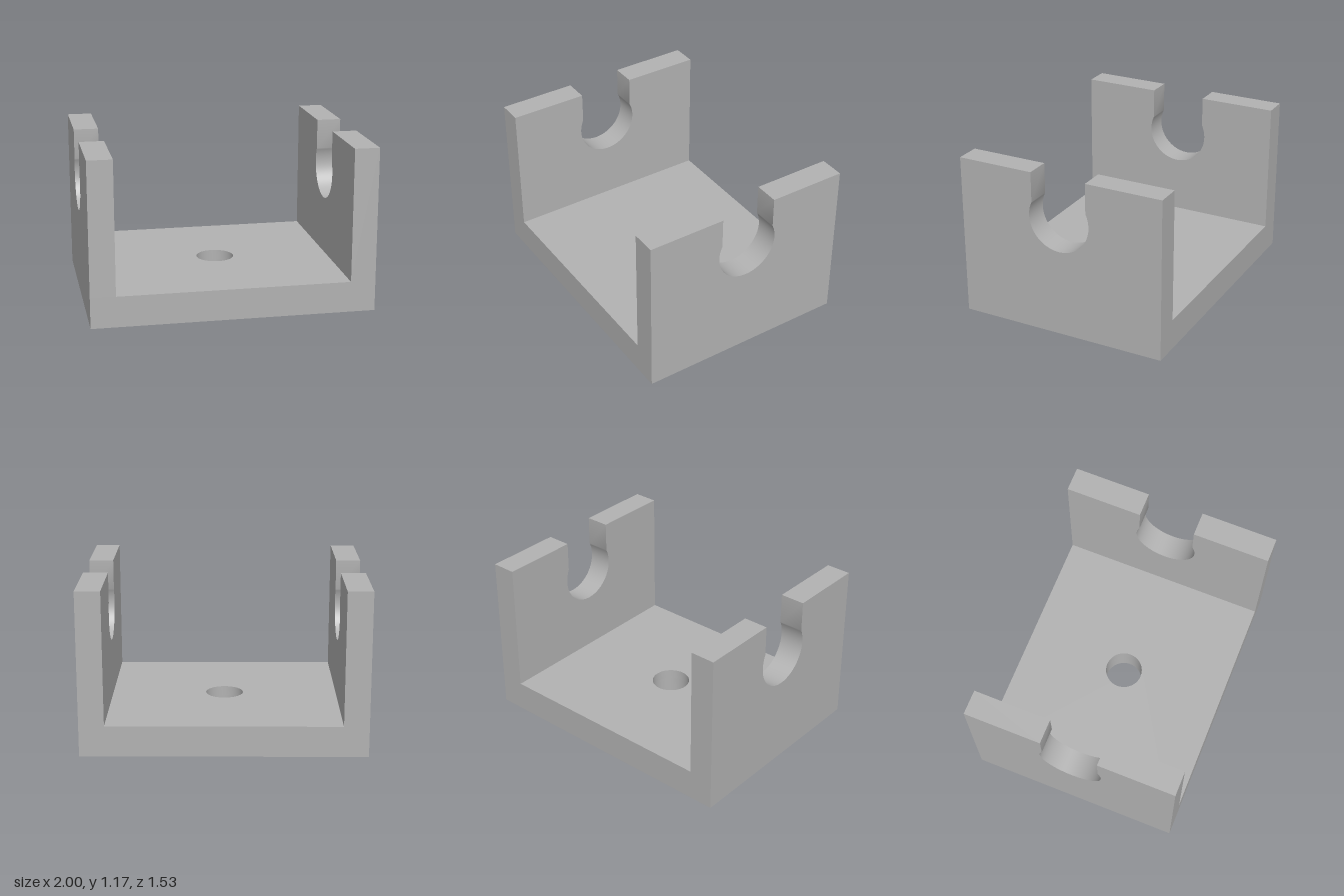
import * as THREE from 'three';
import { toCreasedNormals } from 'three/addons/utils/BufferGeometryUtils.js';

const HALF_X = 1, HALF_Z = 0.765, HEIGHT = 1.172;
const FLOOR = 0.22, WALL = 0.177;
const BORE_R = 0.136;                                    // centre through-hole
const SCREW = { r: 0.054, x: 0.825, z: 0.588, depth: 0.15 }; // blind corner holes
const NOTCH = { r: 0.228, y: 0.858, half: 0.206 };       // bearing seat in each wall

const grey = new THREE.MeshStandardMaterial({ color: 0xb2b2b2 });
grey.name = 'grey';

function extrude(shape, depth) {
  const g = new THREE.ExtrudeGeometry(shape, { depth, bevelEnabled: false, curveSegments: 32 });
  return toCreasedNormals(g, 0.5);
}

function part(name, geometry) {
  const mesh = new THREE.Mesh(geometry, grey);
  mesh.name = name;
  return mesh;
}

// Horizontal slab between two heights, pierced by round holes [x, z, radius]
function slab(name, y0, y1, holes) {
  const s = new THREE.Shape();
  s.moveTo(-HALF_X, -HALF_Z).lineTo(HALF_X, -HALF_Z).lineTo(HALF_X, HALF_Z).lineTo(-HALF_X, HALF_Z).closePath();
  for (const [x, z, r] of holes) {
    const hole = new THREE.Path();
    hole.absarc(x, -z, r, 0, Math.PI * 2, true);
    s.holes.push(hole);
  }
  return part(name, extrude(s, y1 - y0).rotateX(-Math.PI / 2).translate(0, y0, 0));
}

// Upright wall with a keyhole notch open at the top
function wallGeometry() {
  const { r, y, half } = NOTCH;
  const a = Math.acos(half / r);
  const joinY = y + r * Math.sin(a);
  const s = new THREE.Shape();
  s.moveTo(-HALF_Z, FLOOR).lineTo(HALF_Z, FLOOR).lineTo(HALF_Z, HEIGHT).lineTo(half, HEIGHT).lineTo(half, joinY);
  s.absarc(0, y, r, a, Math.PI - a, true);
  s.lineTo(-half, HEIGHT).lineTo(-HALF_Z, HEIGHT).closePath();
  return extrude(s, WALL).rotateY(Math.PI / 2);
}

export function createModel() {
  const model = new THREE.Group();
  model.name = 'bearingBracket';

  // Floor: the lower layer carries the screw holes, the upper layer closes them
  const bore = [0, 0, BORE_R];
  const screws = [];
  for (const sx of [-1, 1]) for (const sz of [-1, 1]) screws.push([sx * SCREW.x, sz * SCREW.z, SCREW.r]);
  model.add(slab('floorLower', 0, SCREW.depth, [bore, ...screws]));
  model.add(slab('floorUpper', SCREW.depth, FLOOR, [bore]));

  // Side walls
  const wall = wallGeometry();
  const left = part('leftWall', wall);
  left.position.x = HALF_X - WALL;
  const right = part('rightWall', wall);
  right.position.x = -HALF_X;
  model.add(left, right);

  return model;
}
